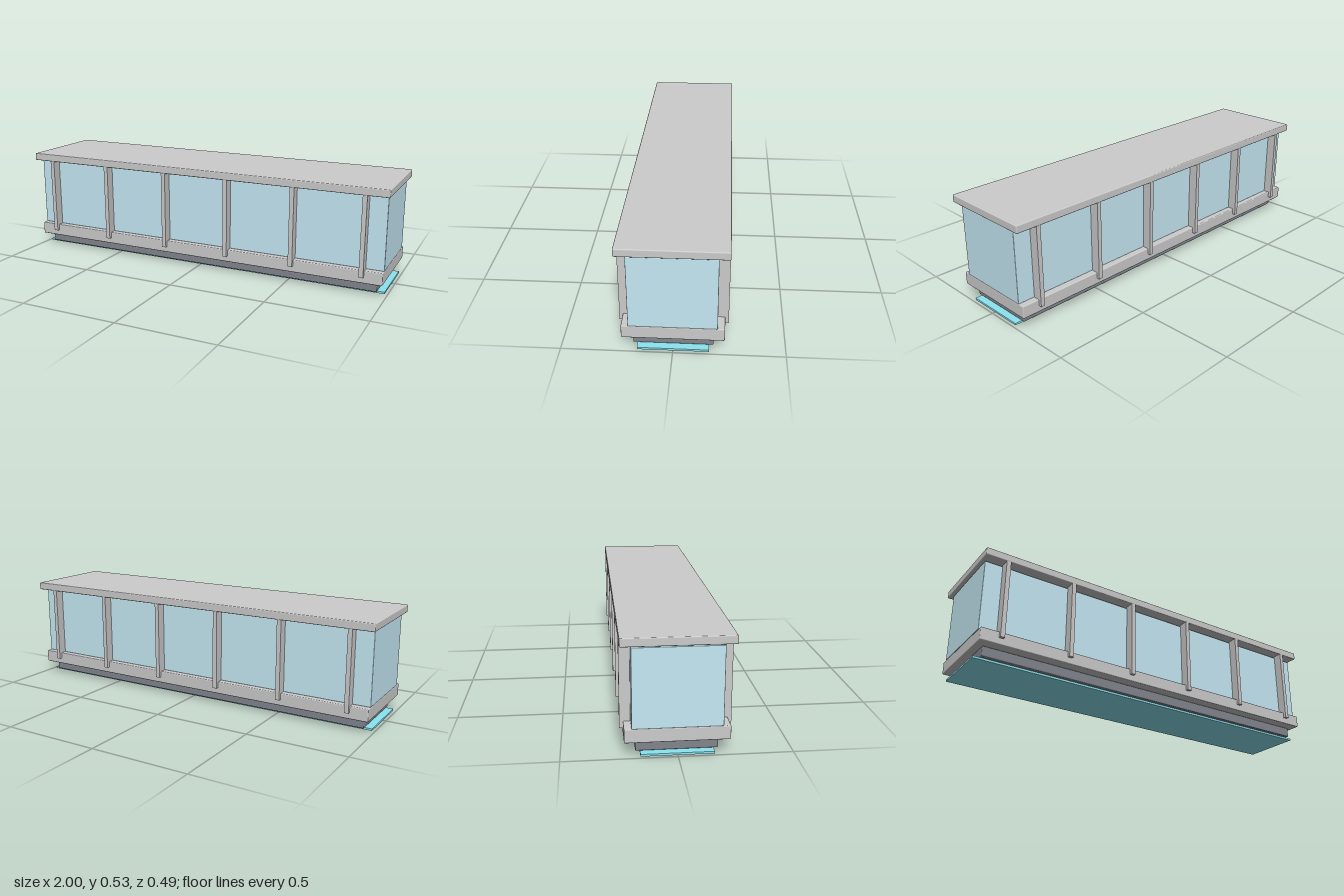
import * as THREE from 'three';
import { RoundedBoxGeometry } from 'three/addons/geometries/RoundedBoxGeometry.js';

const material = (color) => new THREE.MeshStandardMaterial({ color });

export function createModel() {
  const group = new THREE.Group();
  const grey = material(0xcccccc);
  const dark = material(0x82858e);
  const glass = material(0xc6e9f5);
  const glow = material(0x8ce4f0);

  // Box centred on x, given by its y range; radius 0 keeps sharp edges
  function slab(name, width, y0, y1, depth, mat, radius = 0, x = 0, z = 0) {
    const height = y1 - y0;
    const geometry = radius
      ? new RoundedBoxGeometry(width, height, depth, 2, radius)
      : new THREE.BoxGeometry(width, height, depth);
    const mesh = new THREE.Mesh(geometry, mat);
    mesh.name = name;
    mesh.position.set(x, (y0 + y1) / 2, z);
    group.add(mesh);
  }

  // Stacked body, from the ground up
  slab('lightStrip', 1.97, 0, 0.01, 0.32, glow);
  slab('undercarriage', 1.9, 0.01, 0.061, 0.36, dark, 0.005);
  slab('floorSill', 1.97, 0.063, 0.127, 0.458, grey, 0.005);
  slab('glassCabin', 1.97, 0.127, 0.488, 0.394, glass, 0.002);
  slab('roof', 2, 0.495, 0.534, 0.49, grey, 0.005);

  // Six posts along each long side
  for (const side of [-1, 1]) {
    for (let i = 0; i < 6; i++) {
      slab('post', 0.022, 0.095, 0.497, 0.05, grey, 0, -0.885 + i * 0.354, side * 0.22);
    }
  }
  return group;
}
